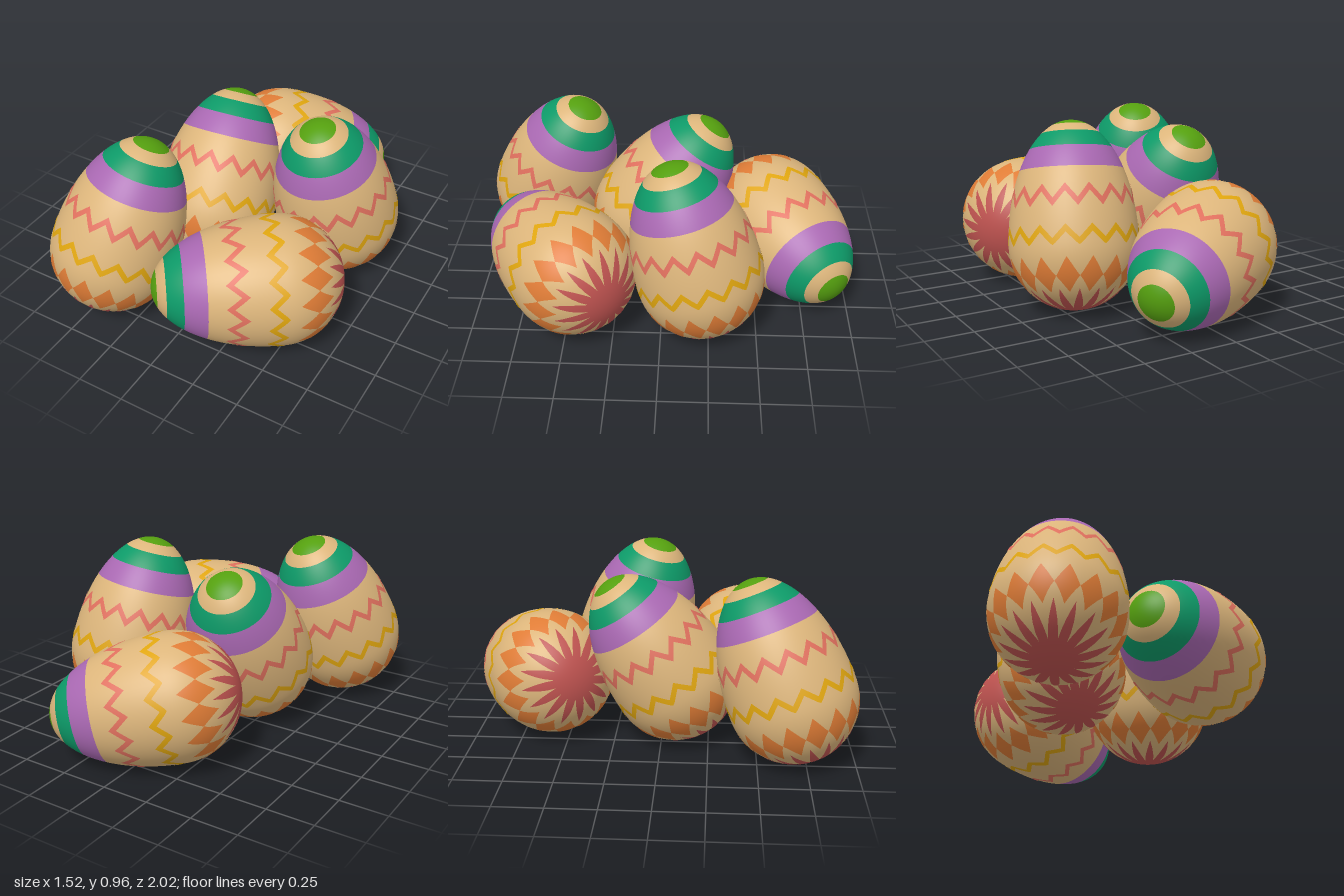
import * as THREE from 'three';

const R = 0.33;        // widest radius, also the depth of the round end
const TIP = 0.635;     // length of the pointed end
const REPEATS = 16;    // pattern repeats around the egg
const RAD = Math.PI / 180;

// A ring of the egg's skin between two latitudes (degrees from the round pole),
// each given as a function of u (turns around the axis)
function ring(lo, hi, columns, rows, lift = 1) {
  const pos = [], nor = [], idx = [];
  const n = new THREE.Vector3();
  for (let j = 0; j <= rows; j++) {
    for (let i = 0; i <= columns; i++) {
      const u = i / columns;
      const a = THREE.MathUtils.lerp(lo(u), hi(u), j / rows) * RAD;
      const p = u * Math.PI * 2;
      const h = a < Math.PI / 2 ? R : TIP;
      const s = Math.sin(a), c = -Math.cos(a);
      pos.push(R * s * Math.cos(p) * lift, h * c * lift, R * s * Math.sin(p) * lift);
      n.set(s * Math.cos(p) / R, c / h, s * Math.sin(p) / R).normalize();
      nor.push(n.x, n.y, n.z);
    }
  }
  const w = columns + 1;
  for (let j = 0; j < rows; j++) {
    for (let i = 0; i < columns; i++) {
      const k = j * w + i;
      idx.push(k, k + w, k + 1, k + 1, k + w, k + w + 1);
    }
  }
  const g = new THREE.BufferGeometry();
  g.setAttribute('position', new THREE.Float32BufferAttribute(pos, 3));
  g.setAttribute('normal', new THREE.Float32BufferAttribute(nor, 3));
  g.setIndex(idx);
  return g;
}

// Triangle wave: 0 at the start of each repeat, 1 in its middle
const wave = (u) => 1 - Math.abs(2 * ((u * REPEATS) % 1) - 1);

const plain = (from, to) => ring(() => from, () => to, 64, Math.ceil((to - from) / 4));
const painted = (lo, hi, rows) => ring(lo, hi, REPEATS * 8, rows, 1.006);

function zigzag(centre, amplitude, half) {
  const mid = (u) => centre + amplitude * (2 * wave(u) - 1);
  return painted((u) => mid(u) - half, (u) => mid(u) + half, 2);
}

function eggParts() {
  const mat = (color) => new THREE.MeshStandardMaterial({ color });
  const shell = mat(0xdcb57b), purple = mat(0xa968b2), green = mat(0x0d9a68);
  const diamond = (u) => 17 * Math.max(0, (wave(u) - 0.04) / 0.96);
  return [
    // Shell and solid stripes
    ['shell', plain(0, 126.5), shell],
    ['purpleStripe', plain(126.5, 140), purple],
    ['greenStripe', plain(140, 153), green],
    ['shellNearTip', plain(153, 163.5), shell],
    ['tipCap', plain(163.5, 180), mat(0x55a00f)],
    // Painted ornaments, just above the shell
    ['starburst', painted(() => 0, (u) => 19 + 31 * (1 - wave(u)), 12), mat(0xbf5350)],
    ['diamonds', painted((u) => 63 - diamond(u), (u) => 63 + diamond(u), 8), mat(0xdf7c36)],
    ['yellowZigzag', zigzag(94, 3, 1.7), mat(0xdfa50f)],
    ['pinkZigzag', zigzag(112, 3.5, 1.9), mat(0xe0705e)],
  ];
}

// Centre of the widest section, and direction of the pointed end
const EGGS = [
  ['frontLeaningEgg', [-0.43, 0.34, 0.67], [0.19, 0.91, -0.37]],
  ['middleLeaningEgg', [-0.185, 0.34, 0.07], [-0.05, 0.83, -0.55]],
  ['sideStandingEgg', [0.43, 0.34, -0.2], [-0.11, 0.96, 0.26]],
  ['frontLyingEgg', [0.42, 0.34, 0.455], [-0.78, 0.03, 0.62]],
  ['backLyingEgg', [-0.135, 0.347, -0.59], [0.84, -0.2, -0.5]],
];

export function createModel() {
  const model = new THREE.Group();
  model.name = 'paintedEggs';
  const parts = eggParts();
  const up = new THREE.Vector3(0, 1, 0);
  for (const [name, centre, axis] of EGGS) {
    const egg = new THREE.Group();
    egg.name = name;
    for (const [part, geometry, material] of parts) {
      const mesh = new THREE.Mesh(geometry, material);
      mesh.name = part;
      egg.add(mesh);
    }
    egg.position.set(...centre);
    egg.quaternion.setFromUnitVectors(up, new THREE.Vector3(...axis).normalize());
    model.add(egg);
  }
  return model;
}
